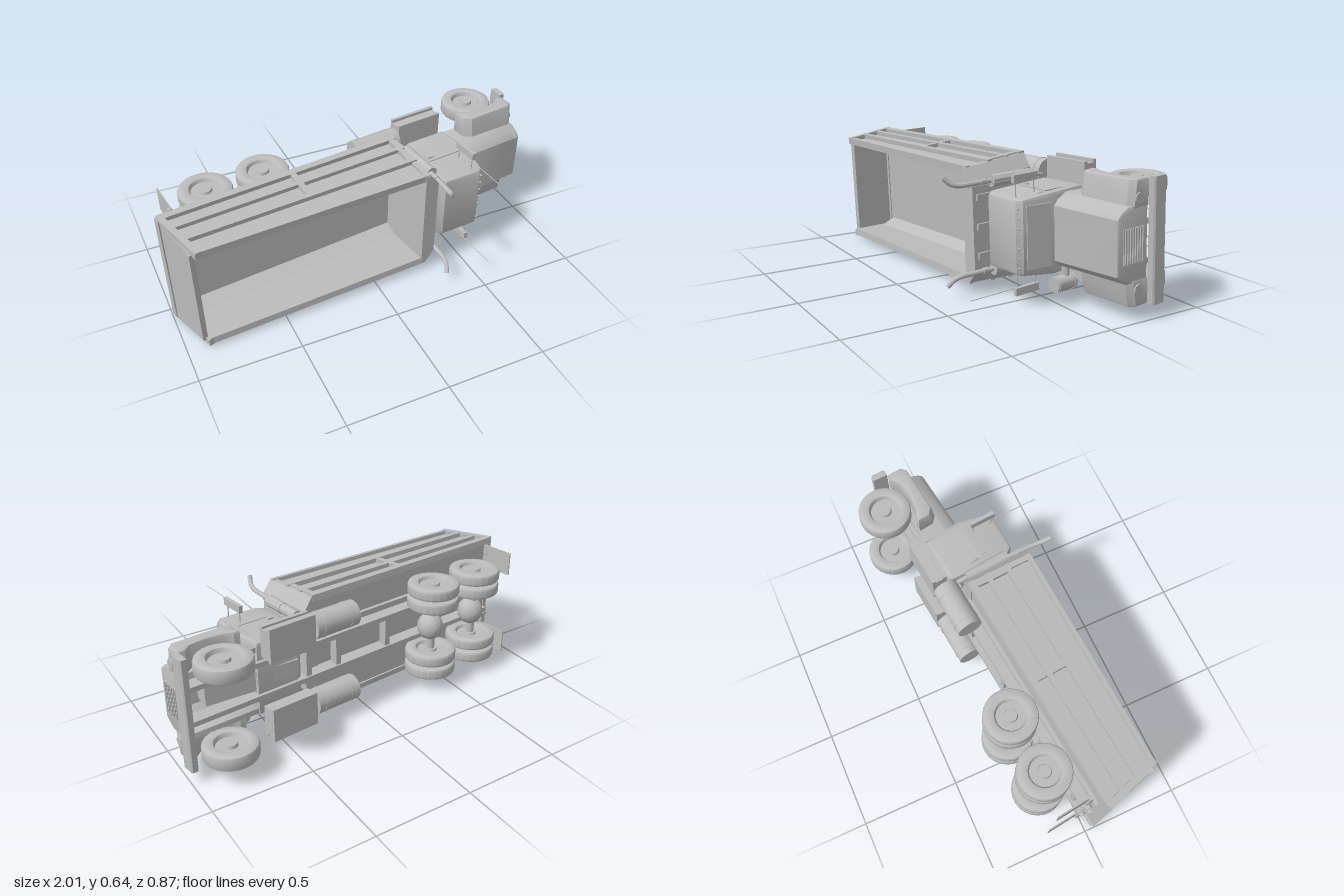
import * as THREE from 'three';
import { toCreasedNormals } from 'three/addons/utils/BufferGeometryUtils.js';

// Dump truck lying on its side. Built upright: x forward, y up, z sideways.
export function createModel() {
  const truck = new THREE.Group();
  truck.name = 'dumpTruck';
  const grey = new THREE.MeshStandardMaterial({ color: 0xbcbcbc });
  grey.name = 'plain grey';
  const V = (x, y, z) => new THREE.Vector3(x, y, z);
  const sides = [-1, 1];

  function add(name, geo, x = 0, y = 0, z = 0) {
    const m = new THREE.Mesh(toCreasedNormals(geo, 0.5), grey);
    m.name = name;
    m.position.set(x, y, z);
    truck.add(m);
    return m;
  }
  // box given by its limits on each axis
  const box = (name, x0, x1, y0, y1, z0, z1) =>
    add(name, new THREE.BoxGeometry(x1 - x0, y1 - y0, Math.abs(z1 - z0)),
      (x0 + x1) / 2, (y0 + y1) / 2, (z0 + z1) / 2);
  // sloping beam in the side plane
  function beam(name, x0, y0, x1, y1, thick, z, width) {
    const m = add(name, new THREE.BoxGeometry(Math.hypot(x1 - x0, y1 - y0), thick, width),
      (x0 + x1) / 2, (y0 + y1) / 2, z);
    m.rotation.z = Math.atan2(y1 - y0, x1 - x0);
    return m;
  }
  function rod(name, r, len, axis, x, y, z, seg = 16) {
    const g = new THREE.CylinderGeometry(r, r, len, seg);
    if (axis === 'x') g.rotateZ(Math.PI / 2);
    if (axis === 'z') g.rotateX(Math.PI / 2);
    return add(name, g, x, y, z);
  }
  const shape = pts => new THREE.Shape(pts.map(p => new THREE.Vector2(...p)));
  const prism = (pts, depth, bevel = 0) => new THREE.ExtrudeGeometry(shape(pts), {
    depth, bevelEnabled: bevel > 0, bevelSize: bevel, bevelThickness: bevel,
    bevelOffset: -bevel, bevelSegments: 2
  });
  function reshape(geo, rule) {
    const p = geo.attributes.position;
    const v = V(0, 0, 0);
    for (let i = 0; i < p.count; i++) {
      v.fromBufferAttribute(p, i);
      rule(v);
      p.setXYZ(i, v.x, v.y, v.z);
    }
    return geo;
  }

  // Wheels: tyre with recessed rim and hub
  function wheel(name, x, y, z, w) {
    const half = [[0, 0.4], [0.03, 0.4], [0.034, 0.2], [0.07, 0.2], [0.078, 0.45],
      [0.09, 0.5], [0.115, 0.48], [0.128, 0.4], [0.132, 0.28]];
    const pts = [...half.map(([r, t]) => [r, -t]), ...half.slice().reverse()]
      .map(([r, t]) => new THREE.Vector2(r, t * w));
    add(name, new THREE.LatheGeometry(pts, 24).rotateX(Math.PI / 2), x, y, z);
  }
  for (const s of sides) {
    wheel('frontWheel', 0.829, -0.214, s * 0.217, 0.08);
    for (const x of [-0.405, -0.704]) {
      wheel('rearOuterWheel', x, -0.21, s * 0.222, 0.066);
      wheel('rearInnerWheel', x, -0.21, s * 0.149, 0.066);
    }
  }
  for (const x of [-0.405, -0.704]) {
    rod('rearAxle', 0.02, 0.3, 'z', x, -0.21, 0);
    add('differential', new THREE.SphereGeometry(0.068, 14, 10).scale(1, 1, 1.1), x, -0.2, 0);
  }

  // Chassis
  for (const s of sides) box('chassisRail', -0.92, 0.98, -0.125, -0.055, s * 0.075, s * 0.1);
  for (const x of [-0.86, -0.56, -0.2, 0.12, 0.3])
    box('crossMember', x, x + 0.03, -0.115, -0.07, -0.075, 0.075);
  beam('gearbox', 0.38, -0.095, 0.6, -0.075, 0.05, 0, 0.08);
  beam('engine', 0.6, -0.05, 0.85, -0.02, 0.09, 0, 0.12);
  add('frontBumper', prism([[0.985, -0.19], [1.012, -0.19], [1.018, -0.182], [1.018, -0.122],
    [1.012, -0.114], [0.985, -0.114]], 0.565), 0, 0, -0.2825);

  // Cab: side profile narrowed towards the roof
  const cab = prism([[0.35, -0.09], [0.38, -0.108], [0.6, -0.108], [0.622, 0.08], [0.594, 0.245],
    [0.57, 0.267], [0.37, 0.257], [0.34, 0.22]], 0.34, 0.018).translate(0, 0, -0.17);
  reshape(cab, v => { v.z *= 1.02 - Math.max(0, v.y - 0.09) * 0.6; });
  add('cab', cab);
  const pane = beam('windscreen', 0.617, 0.105, 0.597, 0.23, 0.006, 0, 0.29);
  pane.position.x += 0.004;
  for (const s of sides) {
    box('door', 0.385, 0.57, -0.09, 0.09, s * 0.184, s * 0.189);
    const win = box('sideWindow', 0.4, 0.565, 0.105, 0.225, s * 0.172, s * 0.178);
    win.rotation.x = -s * 0.12;
    box('doorHandle', 0.39, 0.42, 0.06, 0.07, s * 0.189, s * 0.196);
  }
  for (let i = -3; i <= 3; i++)
    add('roofLight', new THREE.SphereGeometry(0.006, 8, 6), 0.584, 0.262, i * 0.045);

  // Bonnet: arched shell open below, dropping slightly to a nose panel
  const arch = [[0.178, -0.11], [0.18, 0.01], [0.155, 0.066], [0.13, 0.088],
    [-0.13, 0.088], [-0.155, 0.066], [-0.18, 0.01], [-0.178, -0.11]];
  const inner = arch.slice().reverse().map(([z, y]) => [z * 0.84, y > 0.02 ? y - 0.025 : y]);
  const alongX = (pts, depth, x, bevel) =>
    reshape(prism(pts, depth, bevel).rotateY(Math.PI / 2).translate(x, 0, 0), v => {
      v.z *= 1.04 - 0.1 * v.x;
      if (v.y > 0.03) v.y -= 0.03 * (v.x - 0.6);
    });
  add('bonnet', alongX([...arch, ...inner], 0.365, 0.61, 0.006));
  add('nosePanel', alongX(arch, 0.02, 0.955, 0.012));
  box('grillePanel', 0.984, 0.991, -0.08, 0.042, -0.078, 0.078);
  for (let i = 0; i < 8; i++)
    box('grilleSlat', 0.988, 0.997, -0.077 + i * 0.0152, -0.069 + i * 0.0152, -0.076, 0.076);

  // Front wings with a shallow wheel arch
  for (const s of sides) {
    const wing = prism([[0.675, -0.1], [0.705, -0.1], [0.74, -0.08], [0.825, -0.07], [0.91, -0.08],
      [0.95, -0.11], [0.987, -0.11], [0.99, -0.02], [0.965, 0.004], [0.715, 0.008], [0.68, -0.02]], 0.105, 0.012);
    // chamfer the outer top edge
    reshape(wing, v => { if (v.y > -0.03 && s * (v.z - 0.0525) > 0.03) v.y -= 0.016; });
    add('wing', wing, 0, 0, s * 0.2155 - 0.0525);
    rod('headlight', 0.024, 0.014, 'x', 0.989, -0.048, s * 0.2);
  }

  // Steps, tanks, exhausts, mirrors, aerials and mudflaps
  for (const s of sides) {
    box('stepBox', 0.338, 0.59, -0.192, -0.135, s * 0.13, s * 0.278);
    box('lowerStep', 0.338, 0.59, -0.207, -0.19, s * 0.12, s * 0.293);
    box('upperStep', 0.338, 0.59, -0.15, -0.13, s * 0.13, s * 0.288);
    rod('fuelTank', 0.064, 0.25, 'x', 0.2, -0.15, s * 0.205, 20);
    for (const x of [0.12, 0.28]) rod('tankStrap', 0.066, 0.016, 'x', x, -0.15, s * 0.205, 20);

    rod('silencer', 0.027, 0.23, 'y', 0.318, 0.085, s * 0.212);
    rod('silencerGuard', 0.03, 0.12, 'y', 0.318, 0.14, s * 0.212, 10);
    const pipe = new THREE.CatmullRomCurve3([V(0.318, -0.11, s * 0.2), V(0.318, 0.0, s * 0.212),
      V(0.308, 0.3, s * 0.212), V(0.3, 0.38, s * 0.214), V(0.292, 0.41, s * 0.225), V(0.278, 0.437, s * 0.255)]);
    add('exhaustStack', new THREE.TubeGeometry(pipe, 24, 0.012, 10));
    rod('stackCollar', 0.015, 0.03, 'y', 0.31, 0.24, s * 0.212);

    box('mirror', 0.525, 0.545, 0.115, 0.25, s * 0.24, s * 0.276);
    for (const y of [0.13, 0.235]) rod('mirrorArm', 0.003, 0.08, 'z', 0.535, y, s * 0.21, 6);
    const aerial = rod('aerial', 0.002, 0.24, 'y', 0.51, 0.36, s * 0.25, 5);
    aerial.rotation.z = 0.02;

    const flap = box('mudflap', -0.914, -0.908, -0.27, -0.09, s * 0.17, s * 0.295);
    flap.rotation.z = -0.02;
    box('flapBracket', -0.925, -0.905, -0.11, -0.09, s * 0.1, s * 0.29);
    rod('tailLamp', 0.014, 0.04, 'x', -0.92, -0.1, s * 0.12, 10);
  }
  rod('airCleaner', 0.036, 0.115, 'y', 0.63, 0.045, 0.236, 18);
  for (const y of [0.0, 0.09]) rod('airCleanerBand', 0.039, 0.012, 'y', 0.63, y, 0.236, 18);
  rod('airIntakePipe', 0.018, 0.08, 'z', 0.63, 0.03, 0.19, 10);

  // Tipper body: floor and side walls leaning inwards towards the top
  const lean = 0.075;
  box('bodyFloor', -0.975, 0.25, -0.055, -0.035, -0.28, 0.28);
  for (const s of sides) {
    const sideBeam = (name, x0, y0, x1, y1, thick, z, width) => {
      beam(name, x0, y0, x1, y1, thick, s * (z - lean * (y0 + y1) / 2), width).rotation.x = -s * lean;
    };
    const wall = prism([[-0.995, -0.055], [0.25, -0.055], [0.25, 0.28], [-0.925, 0.228]], 0.016)
      .translate(0, 0, -0.008);
    add('sideWall', wall, 0, 0, s * 0.276).rotation.x = -s * lean;
    const corner = prism([[0.268, -0.036], [0.268, 0.045], [0.235, -0.036]].map(([a, b]) => [s * a, b]), 1.18)
      .rotateY(-Math.PI / 2);
    add('innerCorner', corner, 0.23, 0, 0);
    sideBeam('topRail', -0.925, 0.224, 0.25, 0.276, 0.022, 0.286, 0.036);
    sideBeam('upperRail', -0.95, 0.128, 0.25, 0.15, 0.024, 0.294, 0.026);
    sideBeam('middleRail', -0.965, 0.035, 0.25, 0.042, 0.024, 0.293, 0.024);
    sideBeam('bottomRail', -0.99, -0.046, 0.25, -0.046, 0.034, 0.291, 0.03);
    for (const x of [-0.326, 0.224]) sideBeam('sidePost', x, -0.05, x, 0.145, 0.028, 0.294, 0.022);
    sideBeam('rearPost', -0.985, -0.06, -0.918, 0.238, 0.03, 0.289, 0.036);
    box('bodyRunner', -0.95, 0.24, -0.075, -0.055, s * 0.11, s * 0.14);
  }

  // Headboard with its corners swept in towards the cab
  const plan = [[0.222, -0.3], [0.25, -0.3], [0.295, -0.235], [0.295, 0.235], [0.25, 0.3], [0.222, 0.3]];
  const headboard = prism(plan.map(([x, z]) => [x, -z]), 0.35).rotateX(-Math.PI / 2).translate(0, -0.06, 0);
  reshape(headboard, v => { v.z *= 1 - 0.25 * (v.y + 0.02); });
  add('headboard', headboard);
  for (const z of [-0.14, 0, 0.14]) box('headboardRib', 0.29, 0.305, -0.06, 0.27, z - 0.015, z + 0.015);

  // Tailgate leaning forward at the top
  beam('tailgate', -0.988, -0.05, -0.94, 0.2, 0.016, 0, 0.54);
  beam('tailgateTopRail', -0.946, 0.19, -0.941, 0.215, 0.026, 0, 0.53);
  beam('tailgateBottomRail', -0.987, -0.055, -0.98, -0.025, 0.036, 0, 0.6);

  // Lay the truck on its side with a slight pitch, yaw and roll
  const forward = V(0.9944, 0.017, -0.1045).normalize();
  const up = new THREE.Vector3().crossVectors(forward, V(-0.014, 1, 0.028)).normalize();
  const side = new THREE.Vector3().crossVectors(forward, up);
  truck.quaternion.setFromRotationMatrix(new THREE.Matrix4().makeBasis(forward, up, side));
  truck.updateMatrixWorld(true);
  const bounds = new THREE.Box3().setFromObject(truck, true);
  const mid = bounds.getCenter(V(0, 0, 0));
  truck.position.set(-mid.x, -bounds.min.y, -mid.z);
  const model = new THREE.Group();
  model.add(truck);
  return model;
}
